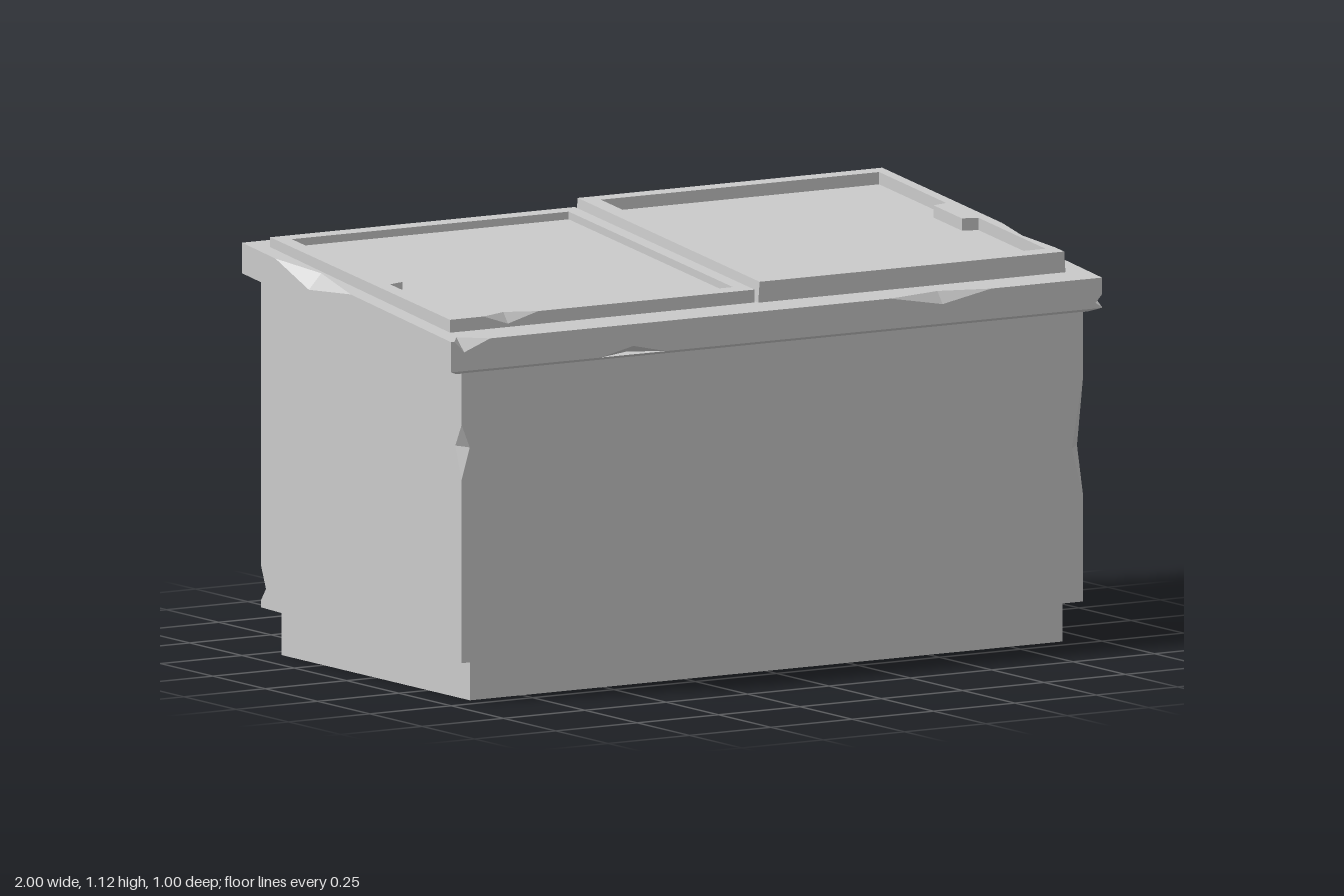
import * as THREE from 'three';

const grey = new THREE.MeshStandardMaterial({ color: 0xcccccc, flatShading: true });
const thin = new THREE.MeshStandardMaterial({ color: 0xcccccc, flatShading: true, side: THREE.DoubleSide });
const V = (x, y, z) => new THREE.Vector3(x, y, z);

function meshOf(tris, name, material = grey) {
  const g = new THREE.BufferGeometry().setFromPoints(tris);
  g.computeVertexNormals();
  const m = new THREE.Mesh(g, material);
  m.name = name;
  return m;
}

// Adds a triangle whose front is turned towards (or away from) a reference point
function addTri(out, a, b, c, ref, towards) {
  const n = b.clone().sub(a).cross(c.clone().sub(a));
  const facing = n.dot(ref.clone().sub(a)) > 0;
  out.push(...(facing === towards ? [a, b, c] : [a, c, b]));
}

function fillFace(pts, hole, axisA, axisB) {
  const flat = (l) => l.map((p) => new THREE.Vector2(p.getComponent(axisA), p.getComponent(axisB)));
  const all = [...pts, ...hole];
  return THREE.ShapeUtils.triangulateShape(flat(pts), hole.length ? [flat(hole)] : [])
    .map((f) => f.map((i) => all[i]));
}

// Eight corners; index bits 1, 2, 4 select the high x, y, z side.
// low/high are [x0, x1, z0, z1]; yLow/yHigh are [back, front] heights.
function corners(low, yLow, high, yHigh) {
  return [...Array(8).keys()].map((i) => {
    const r = i & 2 ? high : low, y = i & 2 ? yHigh : yLow;
    const f = i & 4 ? 1 : 0;
    return V(r[i & 1], y[f], r[2 + f]);
  });
}

// Chip on a box edge: axis it runs along, its low corner, three positions
// along the edge, and how far it bites along each axis
const chip = (axis, at, t, depth) => ({ axis, at, t, depth });

// Six-sided block with chipped edges and an optional opening in the top
function chippedBlock(name, c, chips = [], hole = []) {
  const out = [];
  const centre = c.reduce((s, p) => s.add(p), V(0, 0, 0)).divideScalar(8);
  const along = (k, i) => c[k.at].clone().lerp(c[k.at | (1 << k.axis)], k.t[i]);
  const bite = (k, axis) => {
    const flip = 1 << axis;
    const far = c[k.at ^ flip].clone().lerp(c[(k.at | (1 << k.axis)) ^ flip], k.t[1]);
    const mid = along(k, 1);
    return mid.add(far.sub(mid).setLength(k.depth[axis]));
  };
  for (let n = 0; n < 3; n++) for (let s = 0; s < 2; s++) {
    const a = (n + 1) % 3, b = (n + 2) % 3, base = s << n;
    const loop = [base, base | (1 << a), base | (1 << a) | (1 << b), base | (1 << b)];
    const pts = [];
    loop.forEach((p, i) => {
      const q = loop[(i + 1) % 4], axis = Math.log2(p ^ q);
      const edge = chips.filter((k) => k.axis === axis && k.at === Math.min(p, q))
        .sort((j, k) => j.t[0] - k.t[0])
        .flatMap((k) => [along(k, 0), bite(k, 3 - n - axis), along(k, 2)]);
      pts.push(c[p], ...(p > q ? edge.reverse() : edge));
    });
    const opening = n === 1 && s === 1 ? hole : [];
    for (const f of fillFace(pts, opening, a, b)) addTri(out, ...f, centre, false);
  }
  for (const k of chips) {
    const [u, v] = [0, 1, 2].filter((i) => i !== k.axis).map((i) => bite(k, i));
    addTri(out, along(k, 0), u, v, along(k, 1), true);
    addTri(out, along(k, 2), u, v, along(k, 1), true);
  }
  return meshOf(out, name);
}

// Sliding lid: sloped slab, sunken panel and a handle tab on the outer side
function lid(name, { low, high, yBack, yFront, panel, tabSide, depth, chips }) {
  const group = new THREE.Group();
  group.name = name;
  const [, , z0, z1] = high;
  const topY = (z) => THREE.MathUtils.mapLinear(z, z0, z1, yBack, yFront);
  const [inner, outer, pz0, pz1] = panel;
  const tab = outer - tabSide * 0.045;
  const outline = [
    [inner, pz0], [outer, pz0], [outer, -0.09], [tab, -0.08],
    [tab, 0.055], [outer, 0.065], [outer, pz1], [inner, pz1],
  ].map(([x, z]) => V(x, topY(z), z));
  const floor = outline.map((p) => V(p.x, p.y - depth, p.z));
  const c = corners(low, [1.0, 0.9], high, [yBack, yFront]);
  group.add(chippedBlock(name + 'Frame', c, chips, outline));

  const pan = [];
  for (const f of fillFace(floor, [], 0, 2)) addTri(pan, ...f, V(0, 9, 0), true);
  outline.forEach((p, i) => {
    const j = (i + 1) % outline.length;
    pan.push(p, floor[i], floor[j], p, floor[j], outline[j]);
  });
  group.add(meshOf(pan, name + 'Panel', thin));
  return group;
}

export function createModel() {
  const model = new THREE.Group();
  model.name = 'chestFreezer';

  // Plinth
  const foot = [-0.91, 0.91, -0.45, 0.45];
  model.add(chippedBlock('plinth', corners(foot, [0, 0], foot, [0.14, 0.14])));

  // Cabinet with chipped upright corners
  const box = [-0.955, 0.955, -0.48, 0.48];
  model.add(chippedBlock('cabinet', corners(box, [0.125, 0.105], box, [0.99, 0.865]), [
    chip(1, 5, [0.36, 0.53, 0.78], [0.035, 0, 0.03]),
    chip(1, 1, [0.33, 0.4, 0.505], [0.03, 0, 0.018]),
    chip(1, 4, [0.63, 0.74, 0.82], [0.025, 0, 0.03]),
    chip(1, 0, [0.02, 0.06, 0.13], [0.02, 0, 0.025]),
  ]));

  // Sloped rim and the bevelled lip under it
  const rim = [-1, 1, -0.5, 0.5], lip = [-0.97, 0.97, -0.478, 0.478];
  model.add(chippedBlock('rim', corners(rim, [1.0, 0.872], rim, [1.08, 0.951]), [
    chip(0, 6, [0.675, 0.755, 0.83], [0, 0.028, 0.025]),
    chip(0, 6, [0.005, 0.02, 0.06], [0, 0.03, 0.038]),
    chip(0, 2, [0.79, 0.82, 0.87], [0, 0.025, 0.02]),
    chip(0, 4, [0.23, 0.28, 0.33], [0, 0.022, 0.03]),
    chip(2, 2, [0.16, 0.32, 0.52], [0.038, 0.04, 0]),
    chip(1, 5, [0.02, 0.18, 0.45], [0.02, 0, 0.025]),
  ]));
  model.add(chippedBlock('rimLip', corners(lip, [0.987, 0.862], rim, [1.0, 0.872])));

  // Two lids, the left one standing slightly taller
  model.add(lid('leftLid', {
    low: [-0.013, 0.94, -0.445, 0.425], high: [-0.004, 0.932, -0.445, 0.425],
    yBack: 1.12, yFront: 1.015, panel: [0.045, 0.9, -0.41, 0.385],
    tabSide: 1, depth: 0.032,
    chips: [chip(2, 3, [0.66, 0.8, 0.95], [0.018, 0.03, 0])],
  }));
  model.add(lid('rightLid', {
    low: [-0.952, -0.016, -0.44, 0.42], high: [-0.952, -0.016, -0.44, 0.42],
    yBack: 1.098, yFront: 0.995, panel: [-0.057, -0.908, -0.405, 0.38],
    tabSide: -1, depth: 0.02,
    chips: [chip(0, 6, [0.11, 0.19, 0.29], [0, 0.025, 0.022])],
  }));
  return model;
}
